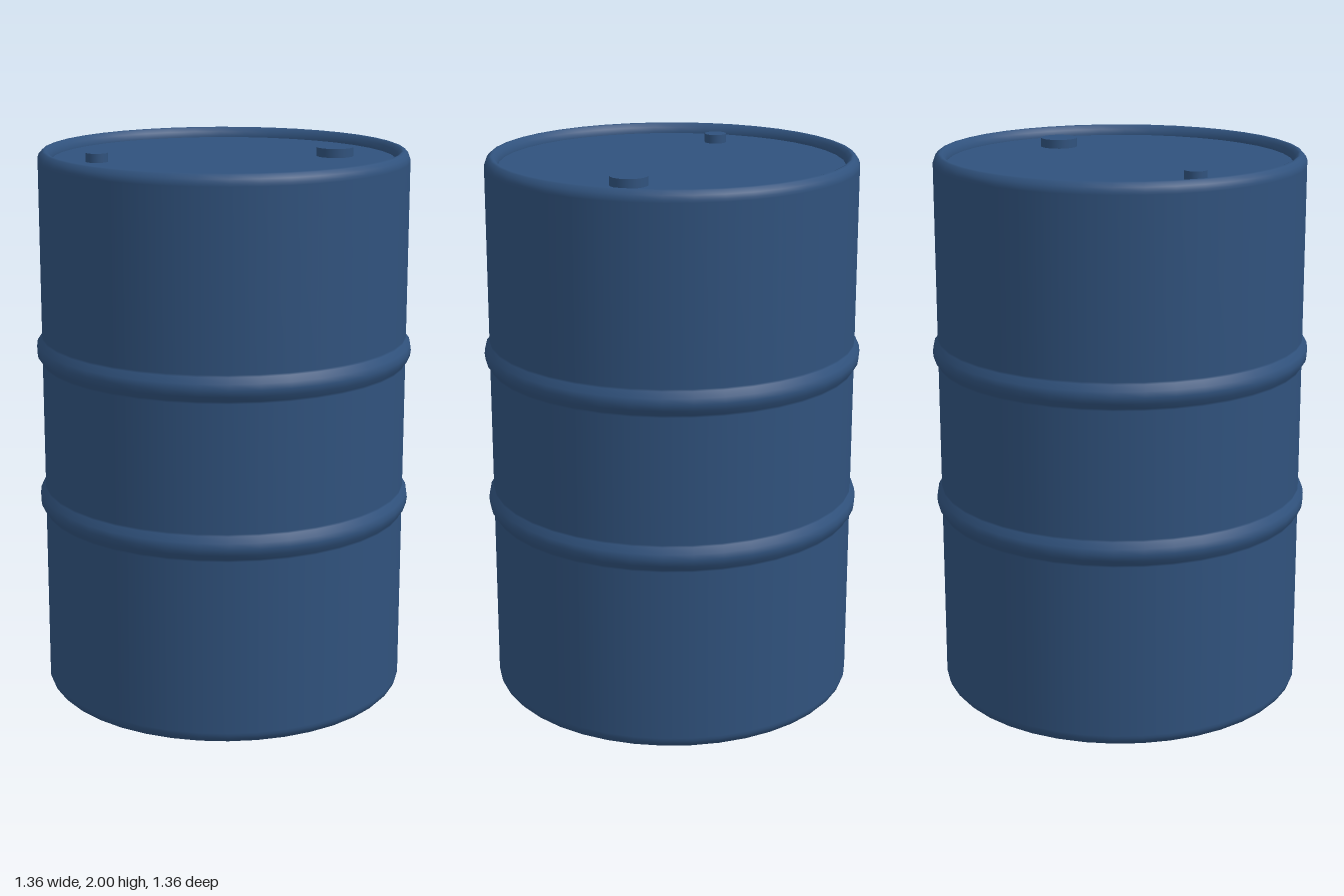
import * as THREE from 'three';

const SEGMENTS = 40;

export function createModel() {
  const group = new THREE.Group();
  const paint = new THREE.MeshStandardMaterial({ color: 0x30527d });
  paint.name = 'blue paint';

  const add = (name, geometry, x = 0, y = 0) => {
    const mesh = new THREE.Mesh(geometry, paint);
    mesh.name = name;
    mesh.position.set(x, y, 0);
    group.add(mesh);
  };
  const lathe = (points) =>
    new THREE.LatheGeometry(points.map(([r, y]) => new THREE.Vector2(r, y)), SEGMENTS);

  // Side wall with two rolled hoops; close point pairs keep the long walls straight
  const R = 0.663;
  const hoop = (y) => [
    [R, y - 0.05], [R, y - 0.042], [0.679, y - 0.022], [0.682, y],
    [0.679, y + 0.022], [R, y + 0.042], [R, y + 0.05],
  ];
  add('drumWall', lathe([
    [0.638, 0], [0.646, 0.003], [0.658, 0.016], [R, 0.03], [R, 0.04],
    ...hoop(0.725), ...hoop(1.283),
    [R, 1.96], [R, 1.97], [0.658, 1.984], [0.646, 1.997], [0.638, 2],
    [0.63, 1.997], [0.62, 1.984], [0.615, 1.97], [0.615, 1.96],
  ]));

  // Flat ends, the upper one set below the rim
  const disc = (r, turn) => new THREE.CircleGeometry(r, SEGMENTS).rotateX(turn);
  add('lid', disc(0.616, -Math.PI / 2), 0, 1.963);
  add('base', disc(0.638, Math.PI / 2), 0, 0);

  // Large filler plug and small vent plug
  const plug = (r) => new THREE.CylinderGeometry(r, r, 0.04, 24);
  add('fillerPlug', plug(0.067), 0.407, 1.975);
  add('ventPlug', plug(0.04), -0.455, 1.975);

  return group;
}
